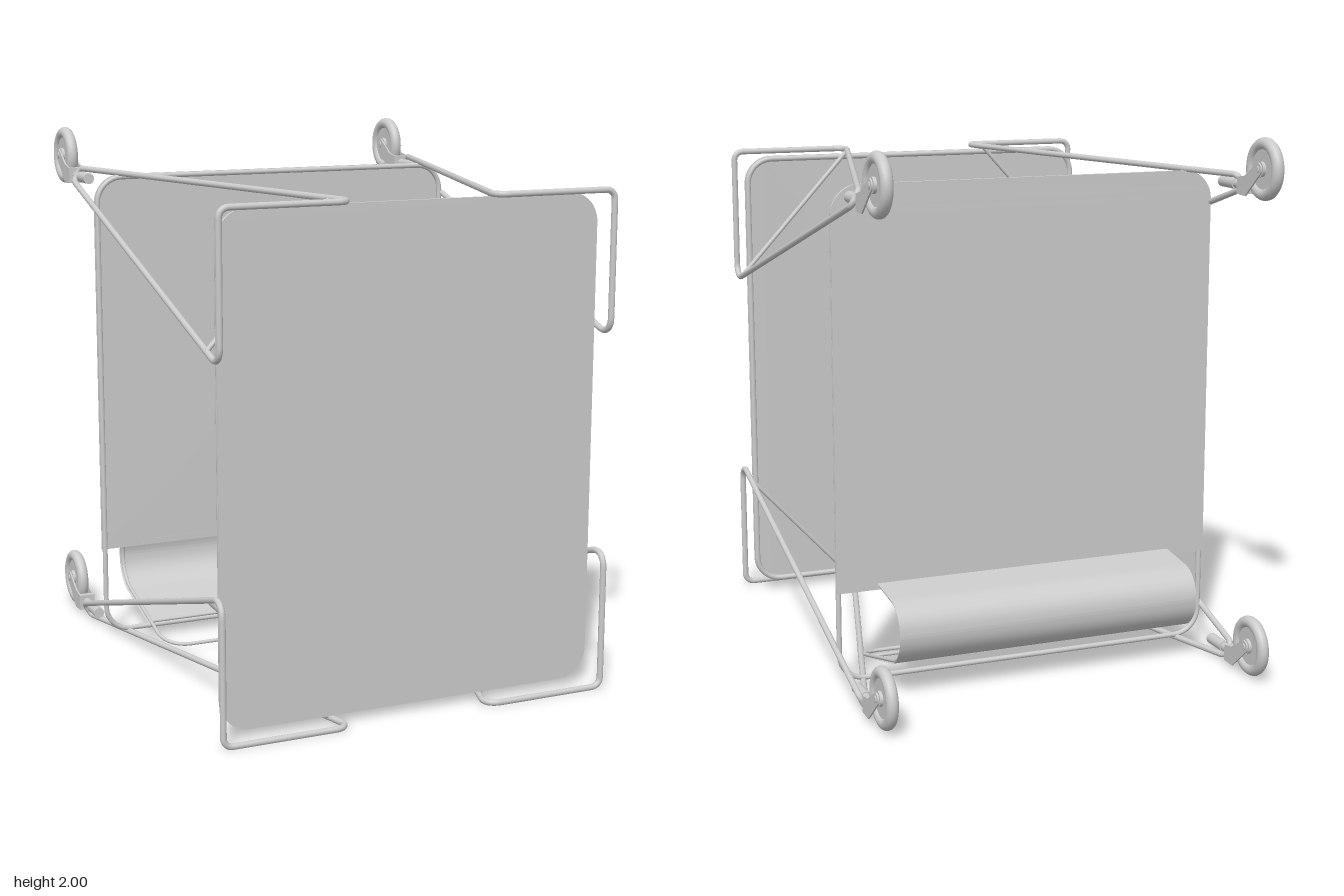
import * as THREE from 'three';

const grey = new THREE.MeshStandardMaterial({ color: 0xcccccc });
const cloth = new THREE.MeshStandardMaterial({ color: 0xcccccc, side: THREE.DoubleSide });
const V = (x, y, z) => new THREE.Vector3(x, y, z);

// Path of straight runs and filleted bends, sampled evenly per piece
class BentPath extends THREE.CurvePath {
  locate(t) {
    const n = this.curves.length;
    const i = Math.min(n - 1, Math.floor(t * n + 1e-9));
    return [this.curves[i], Math.min(1, Math.max(0, t * n - i))];
  }
  getPointAt(t, target) {
    const [c, u] = this.locate(t);
    return c.getPoint(u, target);
  }
  getTangentAt(t, target) {
    const [c, u] = this.locate(t);
    return c.getTangent(u, target);
  }
}

// corners: [x, y, z, bend length]
function bentPath(corners, closed) {
  const n = corners.length;
  const pts = corners.map(c => V(c[0], c[1], c[2]));
  const toward = (a, b, d) => a.clone().add(b.clone().sub(a).setLength(d));
  const path = new BentPath();
  const bends = pts.map((p, i) => {
    const d = corners[i][3] || 0;
    if (!d || (!closed && (i === 0 || i === n - 1))) return [p, p];
    const a = toward(p, pts[(i + n - 1) % n], d), b = toward(p, pts[(i + 1) % n], d);
    return [a, b, new THREE.CubicBezierCurve3(a, a.clone().lerp(p, 0.56), b.clone().lerp(p, 0.56), b)];
  });
  for (let i = 0; i < (closed ? n : n - 1); i++) {
    const next = bends[(i + 1) % n];
    path.add(new THREE.LineCurve3(bends[i][1], next[0]));
    if (next[2]) path.add(next[2]);
  }
  return path;
}

function add(parent, name, geometry, material = grey) {
  const mesh = new THREE.Mesh(geometry, material);
  mesh.name = name;
  parent.add(mesh);
  return mesh;
}

function bentTube(parent, name, corners, radius, closed) {
  const path = bentPath(corners, closed);
  return add(parent, name, new THREE.TubeGeometry(path, path.curves.length * 8, radius, 12, closed), closed ? grey : cloth);
}

function rod(parent, name, a, b, radius) {
  const g = new THREE.CylinderGeometry(radius, radius, a.distanceTo(b), 12);
  const mesh = add(parent, name, g);
  mesh.position.copy(a).lerp(b, 0.5);
  mesh.quaternion.setFromUnitVectors(V(0, 1, 0), b.clone().sub(a).normalize());
  return mesh;
}

// Flat fabric sheet with rounded corners, optionally square at the bottom
function sheet(w, y0, y1, r, rBottom) {
  const s = new THREE.Shape();
  s.moveTo(-w + rBottom, y0);
  s.lineTo(w - rBottom, y0);
  if (rBottom) s.absarc(w - rBottom, y0 + rBottom, rBottom, -Math.PI / 2, 0);
  s.lineTo(w, y1 - r);
  s.absarc(w - r, y1 - r, r, 0, Math.PI / 2);
  s.lineTo(-w + r, y1);
  s.absarc(-w + r, y1 - r, r, Math.PI / 2, Math.PI);
  s.lineTo(-w, y0 + rBottom);
  if (rBottom) s.absarc(-w + rBottom, y0 + rBottom, rBottom, Math.PI, Math.PI * 1.5);
  return new THREE.ExtrudeGeometry(s, { depth: 0.004, bevelEnabled: false, curveSegments: 10 });
}

// Castor: local x points to the rear, local z is the axle, origin at the axle
function castor() {
  const g = new THREE.Group();
  g.name = 'castor';
  add(g, 'tyre', new THREE.TorusGeometry(0.09, 0.0225, 14, 40));
  add(g, 'wheelDisc', new THREE.CylinderGeometry(0.08, 0.08, 0.022, 32).rotateX(Math.PI / 2));
  add(g, 'hub', new THREE.CylinderGeometry(0.028, 0.028, 0.046, 20).rotateX(Math.PI / 2));
  add(g, 'axle', new THREE.CylinderGeometry(0.013, 0.013, 0.07, 14).rotateX(Math.PI / 2));
  const arm = new THREE.Shape();
  arm.moveTo(-0.145, -0.1);
  arm.lineTo(-0.085, -0.103);
  arm.lineTo(0.01, -0.022);
  arm.absarc(0, 0, 0.024, -Math.PI / 3, Math.PI * 0.62);
  arm.lineTo(-0.09, -0.03);
  arm.lineTo(-0.145, -0.04);
  for (const z of [-0.031, 0.025]) {
    const plate = new THREE.ExtrudeGeometry(arm, { depth: 0.006, bevelEnabled: false, curveSegments: 10 });
    add(g, 'forkArm', plate.translate(0, 0, z));
  }
  add(g, 'forkCrown', new THREE.BoxGeometry(0.025, 0.06, 0.056).translate(-0.132, -0.07, 0));
  const stem = (name, r, x0, x1) => add(g, name,
    new THREE.CylinderGeometry(r, r, x1 - x0, 16).rotateZ(Math.PI / 2).translate((x0 + x1) / 2, -0.07, 0));
  stem('forkStem', 0.017, -0.24, -0.14);
  stem('stemSocket', 0.021, -0.305, -0.2);
  g.rotation.y = Math.PI / 2;
  return g;
}

export function createModel() {
  const model = new THREE.Group();
  const R = 0.0115, top = 1.85, mid = 0.932;

  // Four bent corner brackets with a brace and a castor each
  for (const side of [1, -1]) {
    for (const up of [1, -1]) {
      const corner = new THREE.Group();
      corner.name = (up > 0 ? 'upper' : 'lower') + (side > 0 ? 'Left' : 'Right') + 'Corner';
      const y = v => mid + up * (v - mid);
      bentTube(corner, 'bracketTube', [
        [side * 0.72, y(top), -0.637, 0.02],
        [side * 0.265, y(top), 0.935, 0.06],
        [side * 0.746, y(top), 0.935, 0.035],
        [side * 0.746, y(1.325), 0.935, 0.07],
        [side * 0.746, y(1.8), -0.637, 0.02],
      ], R, true);
      rod(corner, 'brace', V(side * 0.3, y(top), 0.82), V(side * 0.746, y(1.365), 0.82), 0.009);
      const wheel = castor();
      wheel.position.set(side * 0.718, up > 0 ? 1.8875 : 0.12, -0.835);
      corner.add(wheel);
      model.add(corner);
    }
  }

  // Front and back panels: round tube frame with fabric on the outer face
  const frame = (name, w, y0, y1, z, r) => bentTube(model, name, [
    [-w, y0, z, 0.1], [w, y0, z, 0.1], [w, y1, z, 0.1], [-w, y1, z, 0.1]], r, true);
  frame('frontFrame', 0.715, 0.045, 1.825, 0.843, 0.011);
  add(model, 'frontPanel', sheet(0.726, 0.034, 1.836, 0.11, 0.11)).position.z = 0.853;
  frame('backFrame', 0.735, 0.025, 1.835, -0.376, 0.01);
  add(model, 'backPanel', sheet(0.745, 0.36, 1.845, 0.11, 0)).position.z = -0.39;

  // Curled tray at the foot of the back panel: thin wire carrying a fabric roll
  const x = 0.578;
  bentTube(model, 'trayWire', [
    [x, 0.375, -0.385], [x, 0.345, -0.63, 0.09], [x, 0.16, -0.63, 0.09], [x, 0.02, -0.105, 0.1],
    [-x, 0.02, -0.105, 0.1], [-x, 0.16, -0.63, 0.09], [-x, 0.345, -0.63, 0.09], [-x, 0.375, -0.385],
  ], 0.007, false);
  rod(model, 'trayCrossbar', V(-x, 0.07, -0.29), V(x, 0.07, -0.29), 0.007);
  const roll = bentPath([
    [0, 0.385, -0.385], [0, 0.355, -0.639, 0.095], [0, 0.153, -0.639, 0.095], [0, 0.061, -0.288]], false);
  const fabric = new THREE.PlaneGeometry(1.18, 1, 1, 40);
  const pos = fabric.attributes.position;
  for (let i = 0; i < pos.count; i++) {
    const p = roll.getPointAt(0.5 - pos.getY(i));
    pos.setXYZ(i, pos.getX(i), p.y, p.z);
  }
  fabric.computeVertexNormals();
  add(model, 'trayFabric', fabric, cloth);
  return model;
}
